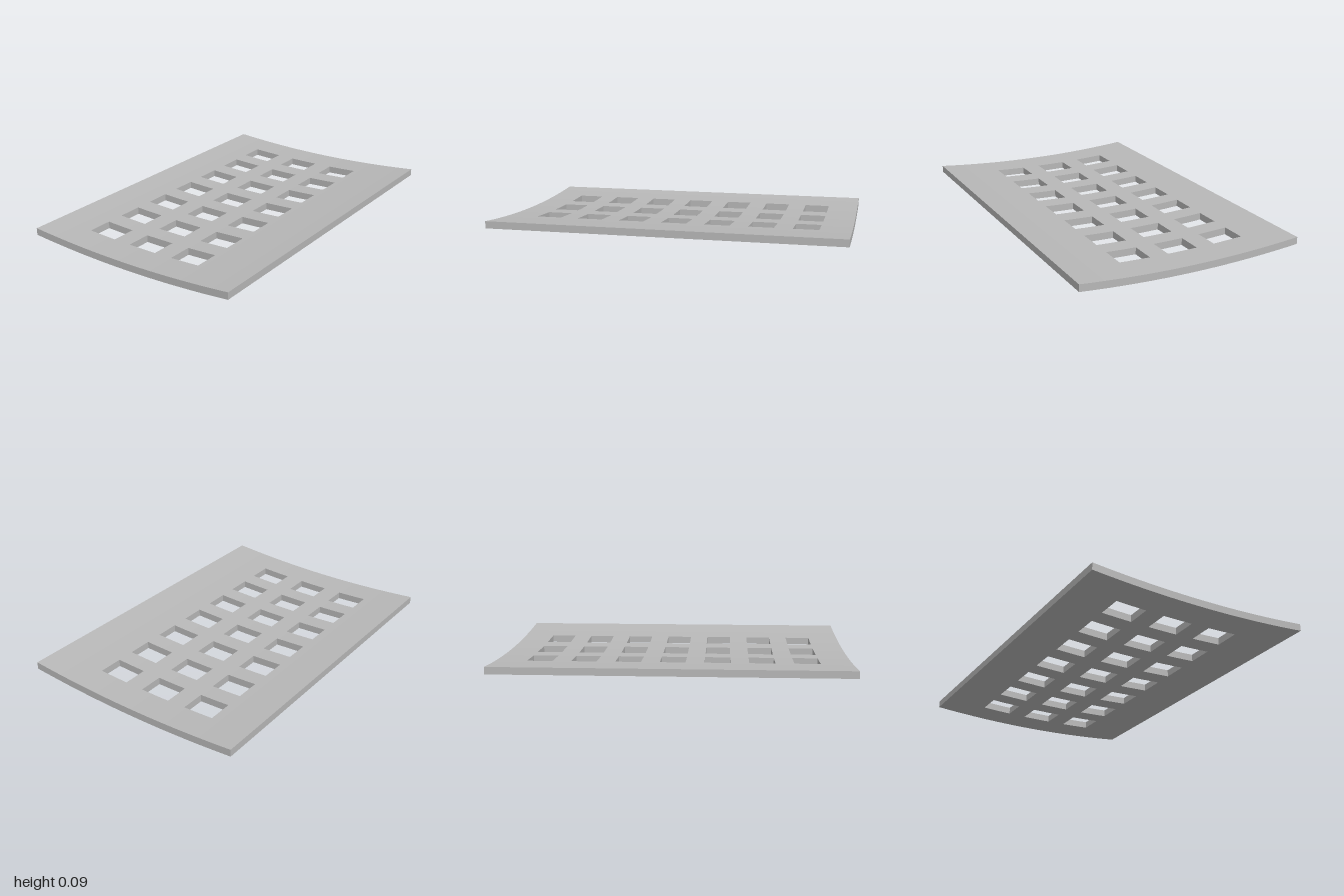
import * as THREE from 'three';

const HALF_X = 1, HALF_Z = 0.667, THICK = 0.041;
const HOLE_W = 0.145, HOLE_D = 0.181;
const HOLE_X = [-0.75, -0.5, -0.25, 0, 0.25, 0.5, 0.75];
const HOLE_Z = [-0.33, -0.039, 0.254];

// Underside of the bowed plate: a shallow parabola along z
const bottom = z => 0.07 * (z + 0.15) ** 2;
const slope = z => 0.14 * (z + 0.15);

// Grid lines at the plate ends and hole edges, with each span split into steps
function gridLines(half, centres, size, steps) {
  const edges = [-half, ...centres.flatMap(c => [c - size / 2, c + size / 2]), half];
  const lines = [];
  for (let i = 0; i < edges.length - 1; i++)
    for (let s = 0; s < steps; s++)
      lines.push({ at: THREE.MathUtils.lerp(edges[i], edges[i + 1], s / steps), hole: i % 2 === 1 });
  lines.push({ at: half, hole: false });
  return lines;
}

function perforatedPlateGeometry() {
  const xs = gridLines(HALF_X, HOLE_X, HOLE_W, 1);
  const zs = gridLines(HALF_Z, HOLE_Z, HOLE_D, 4);
  const positions = [], normals = [];

  const quad = (corners, normalAt) => {
    for (const i of [0, 1, 2, 0, 2, 3]) {
      positions.push(...corners[i]);
      normals.push(...normalAt(corners[i]));
    }
  };
  const low = (x, z) => [x, bottom(z), z];
  const high = (x, z) => [x, bottom(z) + THICK, z];
  const topNormal = p => new THREE.Vector3(0, 1, -slope(p[2])).normalize().toArray();
  const underNormal = p => new THREE.Vector3(0, -1, slope(p[2])).normalize().toArray();
  const wall = (a, b, n) => quad([low(...a), low(...b), high(...b), high(...a)], () => n);

  const solid = (i, j) => i >= 0 && j >= 0 && i < xs.length - 1 && j < zs.length - 1
    && !(xs[i].hole && zs[j].hole);

  for (let i = 0; i < xs.length - 1; i++) {
    for (let j = 0; j < zs.length - 1; j++) {
      if (!solid(i, j)) continue;
      const x0 = xs[i].at, x1 = xs[i + 1].at, z0 = zs[j].at, z1 = zs[j + 1].at;
      // Curved top and underside
      quad([high(x0, z0), high(x0, z1), high(x1, z1), high(x1, z0)], topNormal);
      quad([low(x0, z0), low(x1, z0), low(x1, z1), low(x0, z1)], underNormal);
      // Upright walls at the rim and around the holes
      if (!solid(i - 1, j)) wall([x0, z0], [x0, z1], [-1, 0, 0]);
      if (!solid(i + 1, j)) wall([x1, z1], [x1, z0], [1, 0, 0]);
      if (!solid(i, j - 1)) wall([x1, z0], [x0, z0], [0, 0, -1]);
      if (!solid(i, j + 1)) wall([x0, z1], [x1, z1], [0, 0, 1]);
    }
  }

  const geometry = new THREE.BufferGeometry();
  geometry.setAttribute('position', new THREE.Float32BufferAttribute(positions, 3));
  geometry.setAttribute('normal', new THREE.Float32BufferAttribute(normals, 3));
  return geometry;
}

export function createModel() {
  const grey = new THREE.MeshStandardMaterial({ color: 0xb8b8b8 });
  grey.name = 'grey';
  const plate = new THREE.Mesh(perforatedPlateGeometry(), grey);
  plate.name = 'perforatedPlate';
  const model = new THREE.Group();
  model.name = 'curvedPerforatedPlate';
  model.add(plate);
  return model;
}
